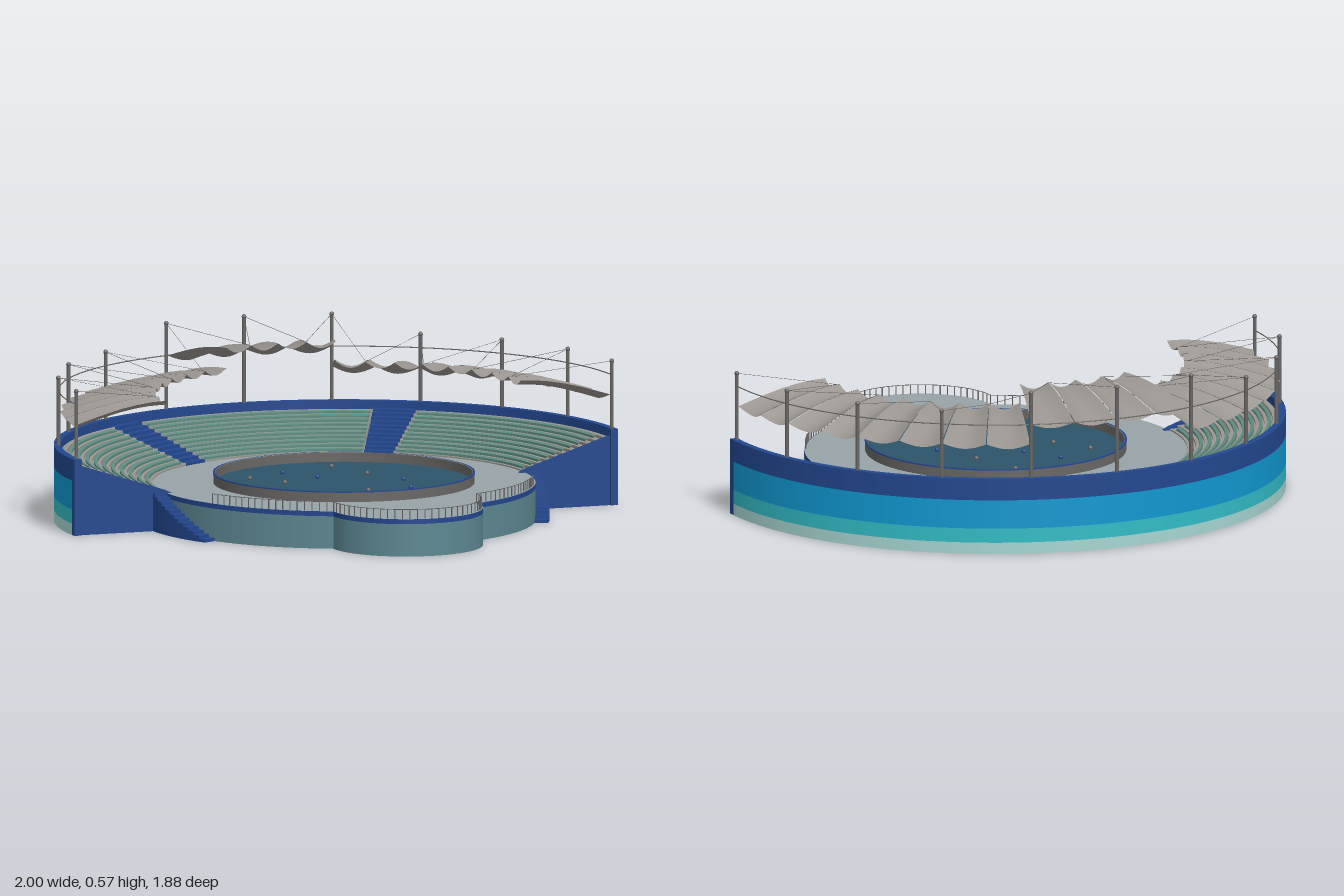
import * as THREE from 'three';
import { mergeGeometries } from 'three/addons/utils/BufferGeometryUtils.js';

const PI = Math.PI, RAD = PI / 180;
const mat = (name, color, side = THREE.FrontSide) => {
  const m = new THREE.MeshStandardMaterial({ color, side });
  m.name = name;
  return m;
};

export function createModel() {
  const M = {
    navy: mat('navy blue', 0x22478f),
    azure: mat('azure', 0x1098d0),
    teal: mat('teal', 0x32bcc6),
    pale: mat('pale aqua', 0xa6d6d2),
    deck: mat('deck grey', 0x97a3a9),
    pool: mat('pool blue', 0x2d5469),
    glass: mat('glass teal', 0x5c8791),
    fabric: mat('warm grey', 0x99948f, THREE.DoubleSide),
    metal: mat('metal grey', 0x696766, THREE.DoubleSide),
    seat: mat('seat green', 0x5f8c82),
  };
  const root = new THREE.Group();
  root.name = 'amphitheatre';
  const hub = new THREE.Group();
  hub.name = 'arena';
  hub.position.z = 0.06;
  root.add(hub);

  const add = (name, geo, material, parent = hub) => {
    const m = new THREE.Mesh(geo, material);
    m.name = name;
    parent.add(m);
    return m;
  };
  // Point at bearing deg from the back, radius r, height y
  const polar = (deg, r, y) => new THREE.Vector3(r * Math.sin(deg * RAD), y, -r * Math.cos(deg * RAD));
  // Turns a [radius, height] profile about the axis with hard profile edges
  const sweep = (pts, from = -90, to = 90) => {
    const parts = [];
    for (let i = 0; i + 1 < pts.length; i++) {
      const pair = [pts[i], pts[i + 1]].map(p => new THREE.Vector2(p[0], p[1]));
      parts.push(new THREE.LatheGeometry(pair, Math.max(4, Math.ceil((to - from) / 2)), PI - to * RAD, (to - from) * RAD));
    }
    return mergeGeometries(parts);
  };
  const rod = (a, b, r, sides = 6) => {
    const d = b.clone().sub(a);
    const g = new THREE.CylinderGeometry(r, r, d.length(), sides);
    g.applyQuaternion(new THREE.Quaternion().setFromUnitVectors(new THREE.Vector3(0, 1, 0), d.normalize()));
    const c = a.clone().add(b).multiplyScalar(0.5);
    return g.translate(c.x, c.y, c.z);
  };

  // Outer wall in horizontal colour bands
  [['baseBand', 0, 0.04, M.pale], ['lowerBand', 0.04, 0.09, M.teal], ['middleBand', 0.09, 0.19, M.azure]]
    .forEach(([n, a, b, m]) => add(n, sweep([[1, a], [1, b]]), m));
  add('upperBand', sweep([[1, 0.19], [1, 0.265], [0.975, 0.265], [0.975, 0.23]]), M.navy);
  add('groundSlab', sweep([[0.02, 0], [1, 0]]), M.fabric);

  // Sloped end walls and end posts
  const slope = new THREE.Shape([[0.64, 0], [0.985, 0], [0.985, 0.245], [0.66, 0.14], [0.64, 0.13]]
    .map(p => new THREE.Vector2(...p)));
  for (const s of [1, -1]) {
    const g = new THREE.ExtrudeGeometry(slope, { depth: 0.018, bevelEnabled: false });
    if (s < 0) g.rotateY(PI).translate(0, 0, 0.018);
    add('endWall', g, M.navy).position.z = -0.002;
    add('endPost', new THREE.BoxGeometry(0.027, 0.265, 0.026), M.navy).position.set(s * 0.9865, 0.1325, 0.01);
  }

  // Seating tiers, seat rows and aisles
  const rows = 10, r0 = 0.66, r1 = 0.955, y0 = 0.135, y1 = 0.235;
  const dr = (r1 - r0) / rows, dy = (y1 - y0) / rows;
  const steps = (lift, shift) => {
    const p = [[0.976, y1 + lift]];
    for (let i = rows; i > 0; i--) {
      p.push([r0 + i * dr - shift, y0 + i * dy + lift], [r0 + i * dr - shift, y0 + (i - 1) * dy + lift]);
    }
    p.push([r0 - shift, y0 + lift], [r0 - shift, 0.13]);
    return p;
  };
  add('seatingTiers', sweep(steps(0, 0)), M.fabric);
  const seats = [];
  for (let i = 0; i < rows; i++) {
    const r = r0 + i * dr + 0.012, y = y0 + i * dy;
    for (const [a, b] of [[-87, -36], [-26, 26], [36, 87]]) {
      seats.push(sweep([[r + 0.012, y], [r + 0.012, y + 0.011], [r, y + 0.008], [r, y]], a, b));
    }
  }
  add('seatRows', mergeGeometries(seats), M.seat);
  for (const a of [-31, 31]) add('aisle', sweep(steps(0.005, 0.004), a - 4.5, a + 4.5), M.navy);

  // Round deck with a front lobe
  const corner = Math.atan2(-0.6045, 0.265);
  const outline = new THREE.Shape();
  outline.absarc(0, 0, 0.66, PI / 2, PI - corner, false);
  outline.absarc(0, -0.61, 0.265, PI, 2 * PI, false);
  outline.absarc(0, 0, 0.66, corner, PI / 2, false);
  const slab = (y, depth) => new THREE.ExtrudeGeometry(outline, { depth, bevelEnabled: false, curveSegments: 56 })
    .rotateX(-PI / 2).translate(0, y, 0);
  add('deckBase', slab(0, 0.113), [M.fabric, M.glass]);
  add('deckTop', slab(0.113, 0.017), [M.deck, M.navy]);

  // Railing along the front of the deck
  const railPts = outline.getSpacedPoints(170).filter(p => p.y < -0.28)
    .map(p => new THREE.Vector3(p.x * 0.992, 0.163, -p.y * 0.992));
  add('railPosts', mergeGeometries(railPts.map(p =>
    new THREE.BoxGeometry(0.003, 0.034, 0.003).translate(p.x, 0.147, p.z))), M.metal);
  add('handrail', new THREE.TubeGeometry(new THREE.CatmullRomCurve3(railPts), 160, 0.0012, 4), M.metal);

  // Pool, its barrier and small floats
  add('poolSurface', new THREE.CylinderGeometry(0.448, 0.448, 0.004, 96).translate(0, 0.131, 0), M.pool);
  add('poolBarrier', sweep([[0.45, 0.13], [0.45, 0.165], [0.443, 0.165], [0.443, 0.13]], -180, 180), M.metal);
  add('barrierTrim', sweep([[0.452, 0.163], [0.452, 0.167], [0.445, 0.167]], -180, 180), M.navy);
  const floats = [[-0.14, -0.17], [0.07, -0.25], [-0.29, -0.09], [-0.06, -0.04], [0.13, -0.06],
    [-0.21, 0.04], [0.2, 0.11], [-0.2, 0.32], [0, 0.3], [0.16, 0.29]];
  floats.forEach(([x, z], i) => add('float', new THREE.SphereGeometry(0.008, 10, 8), i % 3 ? M.metal : M.navy)
    .position.set(x, 0.138, z - 0.06));

  // Curved stairs on both sides of the deck
  const nSteps = 12, span = 27 / nSteps;
  for (const s of [1, -1]) {
    const parts = [];
    for (let i = 0; i < nSteps; i++) {
      const h = 0.132 * (1 - i / nSteps), a = 90 + i * span, b = a + span;
      const [from, to] = s > 0 ? [a, b] : [-b, -a];
      parts.push(sweep([[0.708, 0], [0.708, h], [0.655, h]], from, to));
      const face = new THREE.PlaneGeometry(0.053, h).translate(0.6815, h / 2, 0);
      if (s < 0) face.translate(-1.363, 0, 0);
      parts.push(face.rotateY(-s * (i + 1) * span * RAD));
    }
    add('sideStairs', mergeGeometries(parts), M.navy);
  }

  // Canopy of sagging fabric panels, raised over the middle
  const lift = deg => (Math.abs(deg) < 18 ? 0.07 : 0);
  const canopyY = (v, up) => 0.383 + up + 0.066 * Math.sin((1 - v) * PI / 2);
  for (let k = 0; k < 20; k++) {
    const a = -90 + k * 9, up = lift(a + 4.5);
    const g = new THREE.PlaneGeometry(1, 1, 8, 6), p = g.attributes.position;
    for (let i = 0; i < p.count; i++) {
      const u = p.getX(i) + 0.5, v = p.getY(i) + 0.5, bow = Math.sin(u * PI);
      const q = polar(a + 0.1 + u * 8.8, 0.65 + v * (0.33 - 0.018 * bow), canopyY(v, up) - 0.021 * bow);
      p.setXYZ(i, q.x, q.y, q.z);
    }
    g.computeVertexNormals();
    add('canopyPanel', g, M.fabric);
  }

  // Masts, ring cable and stays
  const stays = [];
  for (let deg = -90; deg <= 90; deg += 18) {
    const top = Math.abs(deg) <= 18 ? 0.565 : 0.5;
    add('mast', rod(polar(deg, 0.985, 0.23), polar(deg, 0.985, top), 0.0065, 10), M.metal);
    add('mastCap', new THREE.SphereGeometry(0.0085, 10, 8), M.metal).position.copy(polar(deg, 0.985, top));
    for (const side of [-9, 9]) {
      const t = deg + side;
      if (Math.abs(t) < 90) stays.push(rod(polar(deg, 0.985, top), polar(t, 0.66, canopyY(0, lift(t))), 0.0008, 4));
    }
  }
  add('stayCables', mergeGeometries(stays), M.metal);
  const ring = [];
  for (let d = -90; d <= 90; d += 6) ring.push(polar(d, 0.982, 0.453));
  add('ringCable', new THREE.TubeGeometry(new THREE.CatmullRomCurve3(ring), 90, 0.002, 5), M.metal);

  return root;
}
